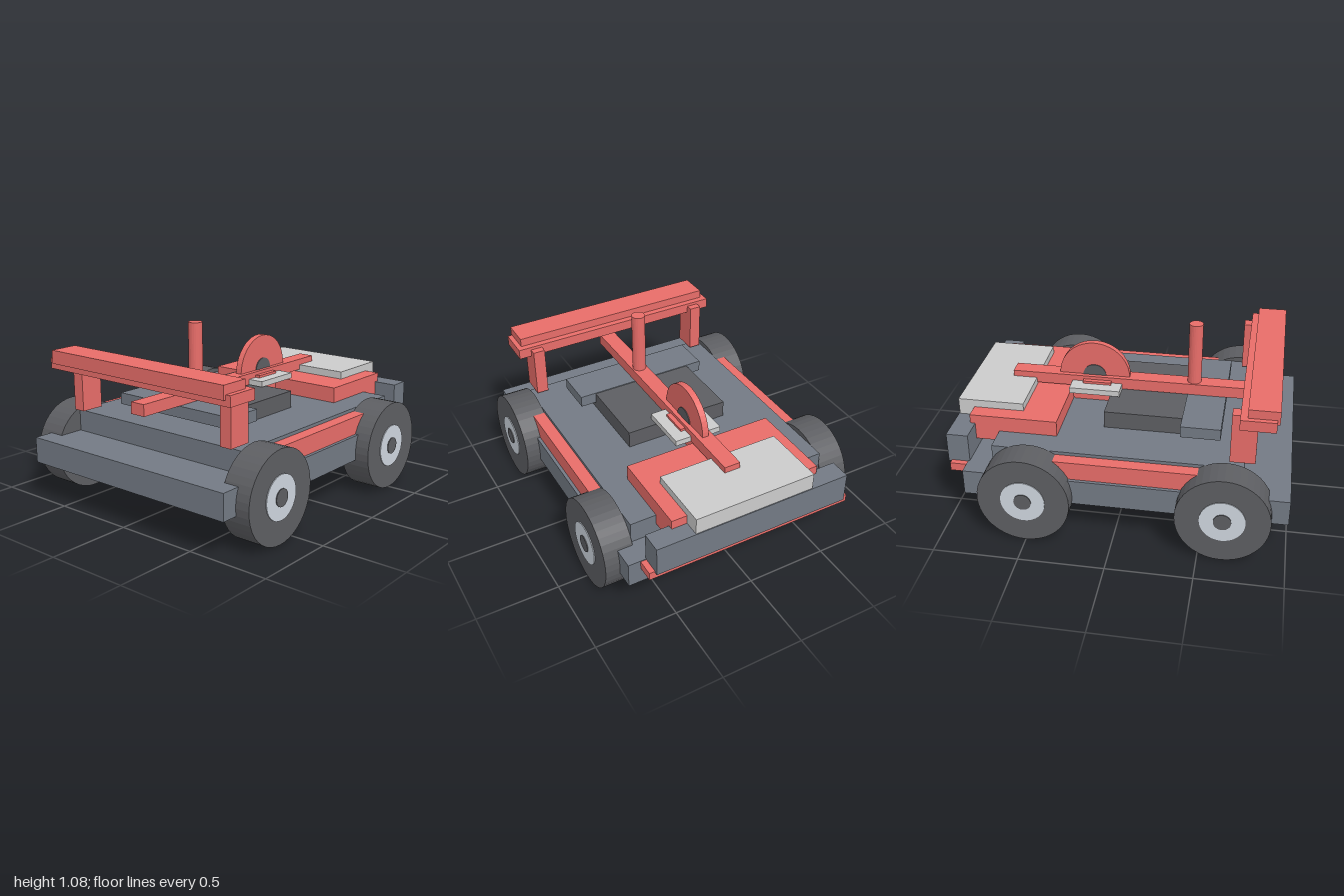
import * as THREE from 'three';

const material = (color) => new THREE.MeshStandardMaterial({ color, flatShading: true });

export function createModel() {
  const model = new THREE.Group();
  model.name = 'buggy';
  const slate = material(0x737a84);
  const charcoal = material(0x5d5e62);
  const red = material(0xe86d69);
  const grey = material(0xcccccc);
  const silver = material(0xcfd6df);

  // Box given by its extents along each axis
  function box(name, mat, [x0, x1], [y0, y1], [z0, z1]) {
    const mesh = new THREE.Mesh(new THREE.BoxGeometry(x1 - x0, y1 - y0, z1 - z0), mat);
    mesh.position.set((x0 + x1) / 2, (y0 + y1) / 2, (z0 + z1) / 2);
    mesh.name = name;
    model.add(mesh);
  }
  const wide = (half) => [-half, half];

  // Disc whose axle runs along x
  function disc(name, mat, radius, width, segments = 32) {
    const geometry = new THREE.CylinderGeometry(radius, radius, width, segments).rotateZ(Math.PI / 2);
    const mesh = new THREE.Mesh(geometry, mat);
    mesh.name = name;
    return mesh;
  }

  // Chassis and body
  box('chassis', slate, wide(0.73), [0.225, 0.38], [-0.88, 1]);
  box('deck', slate, wide(0.635), [0.37, 0.51], [-0.725, 0.73]);
  box('engineBlock', charcoal, wide(0.33), [0.5, 0.615], [-0.12, 0.45]);
  box('dashboard', slate, wide(0.43), [0.55, 0.62], [0.345, 0.58]);

  // Rear end
  box('rearSeat', red, wide(0.475), [0.445, 0.605], [-0.9, -0.375]);
  box('rearCover', grey, wide(0.38), [0.55, 0.652], [-0.995, -0.597]);
  box('rearPanel', slate, wide(0.62), [0.365, 0.55], [-1, -0.87]);
  box('rearBumper', red, wide(0.655), [0.325, 0.375], [-0.98, -0.86]);

  // Central beam with its mounting plates and mast
  box('spine', red, wide(0.05), [0.62, 0.69], [-0.745, 0.865]);
  box('mountPlate', grey, wide(0.15), [0.62, 0.655], [-0.37, -0.06]);
  box('mountPad', red, wide(0.08), [0.65, 0.67], [-0.3, -0.125]);

  const mast = new THREE.Mesh(new THREE.CylinderGeometry(0.042, 0.042, 0.4, 24), red);
  mast.name = 'mast';
  mast.position.set(0, 0.875, 0.38);
  model.add(mast);

  // Upright disc set into the beam
  const flywheel = new THREE.Group();
  flywheel.name = 'flywheel';
  flywheel.add(disc('flywheelDisc', red, 0.218, 0.04, 40), disc('flywheelHub', charcoal, 0.072, 0.05, 24));
  flywheel.position.set(0, 0.687, -0.235);
  model.add(flywheel);

  // Front cross bars
  box('lowerCrossBar', red, wide(0.685), [0.79, 0.853], [0.69, 0.89]);
  box('upperCrossBar', red, wide(0.655), [0.825, 0.905], [0.73, 0.905]);

  // Mirrored parts
  for (const side of [-1, 1]) {
    const span = (inner, outer) => [side * inner, side * outer].sort((a, b) => a - b);
    box('crossBarPost', red, span(0.533, 0.607), [0.53, 0.835], [0.645, 0.79]);
    box('sidePod', red, span(0.62, 0.71), [0.375, 0.49], [-0.5, 0.57]);

    for (const [name, z] of [['frontWheel', 0.634], ['rearWheel', -0.505]]) {
      const wheel = new THREE.Group();
      wheel.name = name;
      const rim = disc('rim', silver, 0.13, 0.03);
      rim.position.x = side * 0.08;
      const cap = disc('hubCap', charcoal, 0.051, 0.03, 24);
      cap.position.x = side * 0.085;
      wheel.add(disc('tire', charcoal, 0.27, 0.18, 40), rim, cap);
      wheel.position.set(side * 0.727, 0.27, z);
      model.add(wheel);
    }
  }
  return model;
}
